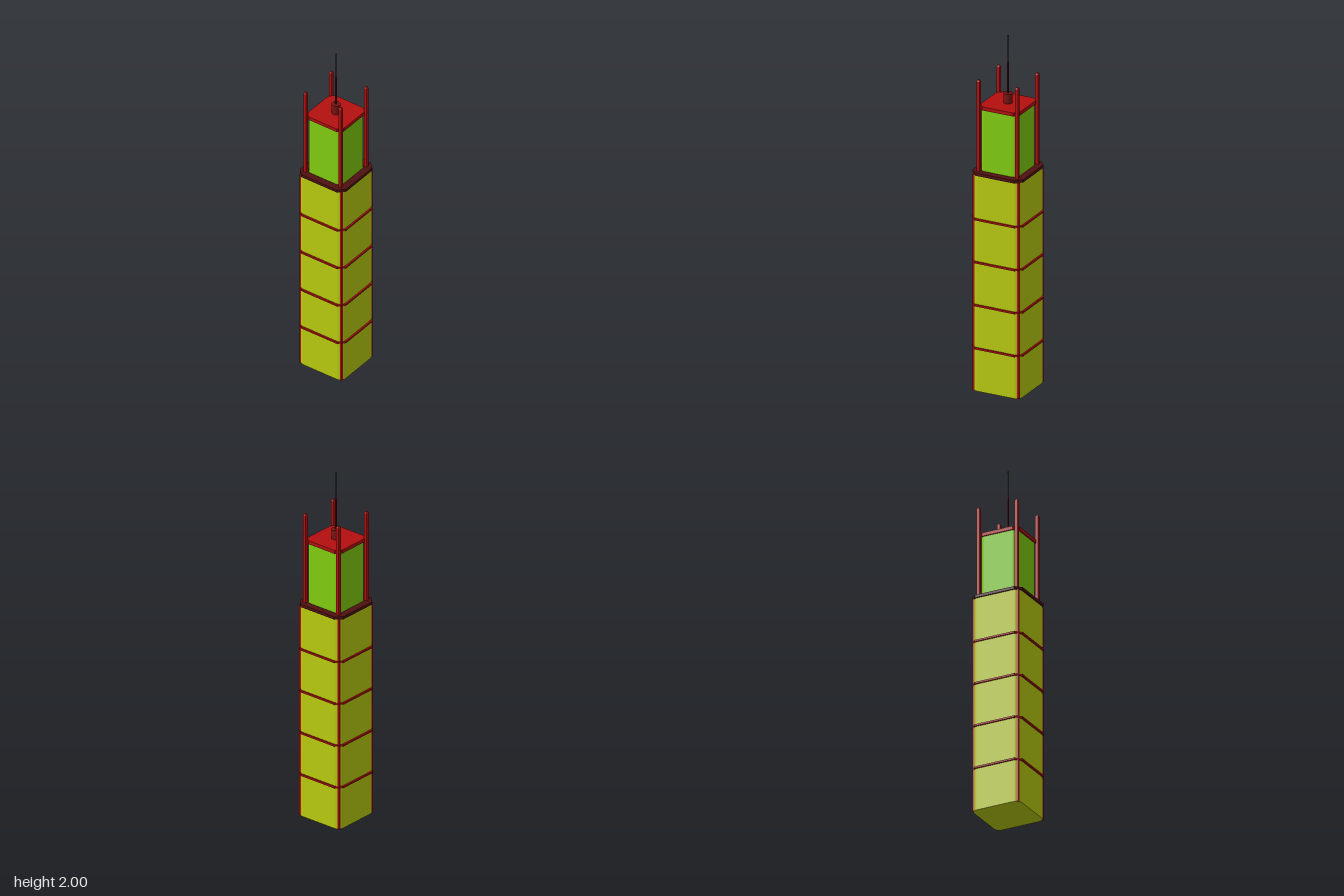
import * as THREE from 'three';

const mat = (name, color) => {
  const m = new THREE.MeshStandardMaterial({ color });
  m.name = name;
  return m;
};

// Square outline with cut corners (round = false) or rounded corners (round = true)
function squareShape(half, cut, round) {
  const s = new THREE.Shape();
  const a = half - cut;
  s.moveTo(a, -half);
  const corner = (cx, cy, x, y, start) =>
    round ? s.absarc(cx, cy, cut, start, start + Math.PI / 2, false) : s.lineTo(x, y);
  corner(a, -a, half, -a, -Math.PI / 2);
  s.lineTo(half, a);
  corner(a, a, a, half, 0);
  s.lineTo(-a, half);
  corner(-a, a, -half, a, Math.PI / 2);
  s.lineTo(-half, -a);
  corner(-a, -a, -a, -half, Math.PI);
  s.closePath();
  return s;
}

// Upright prism standing between two heights
function prism(half, cut, round, y0, y1) {
  const g = new THREE.ExtrudeGeometry(squareShape(half, cut, round), {
    depth: y1 - y0, bevelEnabled: false, curveSegments: 8,
  });
  g.rotateX(-Math.PI / 2);
  g.translate(0, y0, 0);
  return g;
}

export function createModel() {
  const model = new THREE.Group();
  const yellow = mat('yellow facade', 0xbacd10);
  const green = mat('green facade', 0x82cf10);
  const red = mat('red trim', 0xb40f0f);
  const dark = mat('dark maroon', 0x4f1010);
  const maroon = mat('maroon', 0x7a1414);

  const add = (name, geometry, material, x = 0, y = 0, z = 0) => {
    const mesh = new THREE.Mesh(geometry, material);
    mesh.name = name;
    mesh.position.set(x, y, z);
    model.add(mesh);
    return mesh;
  };

  // Main shaft, floor bands and the ledge above it
  add('lowerTower', prism(0.143, 0.035, true, 0, 1.23), yellow);
  for (let i = 1; i <= 4; i++) {
    const y = i * 0.245;
    add('floorBand', prism(0.152, 0.035, false, y - 0.005, y + 0.005), red);
  }
  add('ledge', prism(0.151, 0.035, false, 1.23, 1.246), dark);

  // Set-back crown with its roof slab
  add('upperTower', prism(0.111, 0.03, true, 1.246, 1.595), green);
  add('roof', prism(0.118, 0.027, false, 1.595, 1.615), red);

  // Corner trims on the shaft, tall posts with tapered tips around the crown
  const trim = new THREE.BoxGeometry(0.012, 1.23, 0.012);
  const post = new THREE.BoxGeometry(0.018, 0.509, 0.018);
  const tip = new THREE.CylinderGeometry(0.006, 0.0127, 0.01, 4).toNonIndexed();
  tip.rotateY(Math.PI / 4);
  tip.computeVertexNormals();
  for (const sx of [-1, 1]) {
    for (const sz of [-1, 1]) {
      add('cornerTrim', trim, red, sx * 0.132, 0.615, sz * 0.132);
      add('cornerPost', post, red, sx * 0.114, 1.5005, sz * 0.114);
      add('postTip', tip, red, sx * 0.114, 1.76, sz * 0.114);
    }
  }

  // Antenna on a round base
  add('antennaBase', new THREE.CylinderGeometry(0.024, 0.024, 0.055, 24), maroon, 0, 1.6425, 0);
  add('lowerMast', new THREE.CylinderGeometry(0.005, 0.005, 0.175, 10), dark, 0, 1.7575, 0);
  add('mastCollar', new THREE.CylinderGeometry(0.006, 0.006, 0.006, 10), dark, 0, 1.843, 0);
  add('upperMast', new THREE.CylinderGeometry(0.0025, 0.003, 0.15, 8), dark, 0, 1.92, 0);
  add('mastTip', new THREE.SphereGeometry(0.005, 10, 8), dark, 0, 1.995, 0);

  return model;
}
